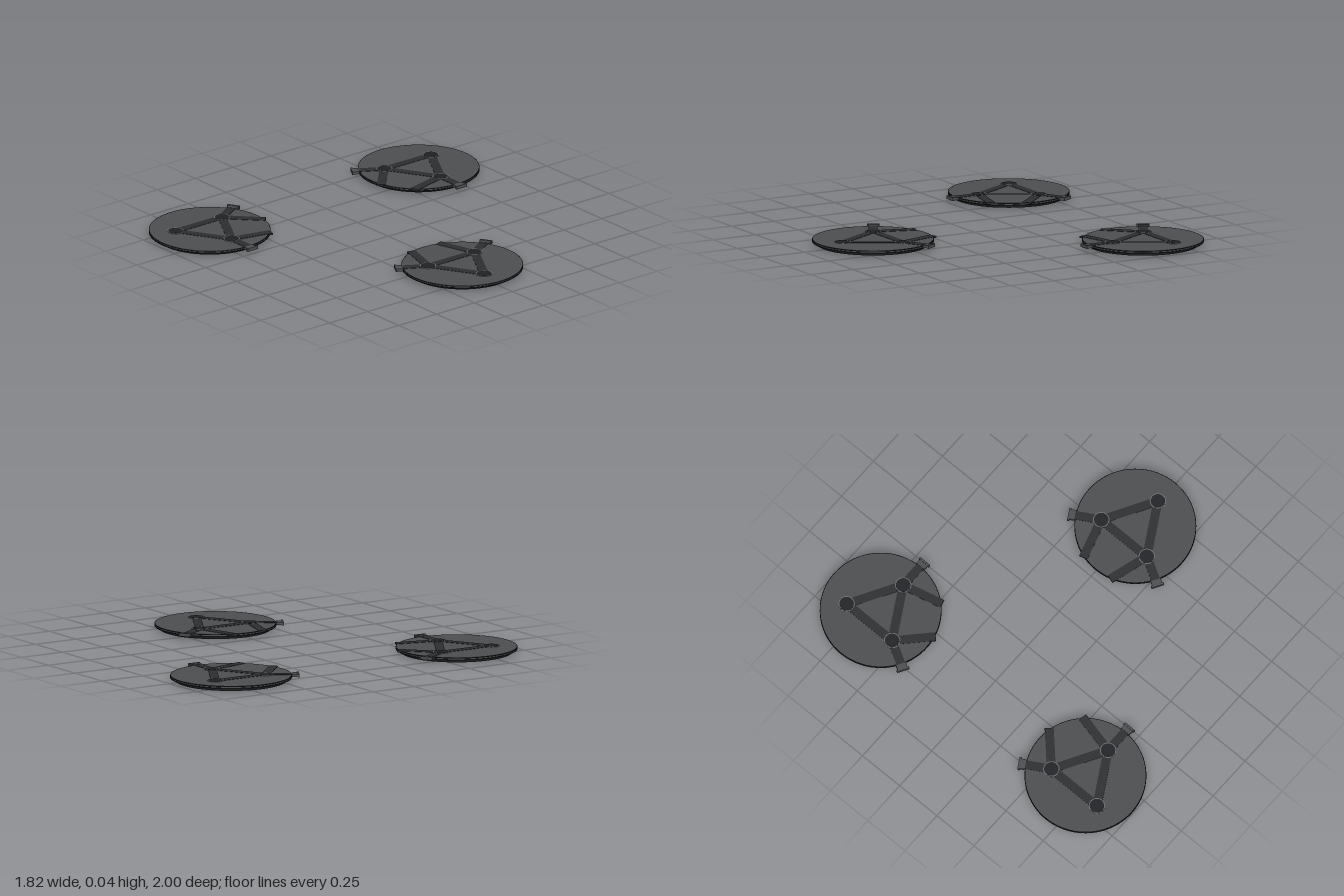
import * as THREE from 'three';

const material = (color) => new THREE.MeshStandardMaterial({ color });
const plateMat = material(0x4d4e50);
const darkMat = material(0x18191b);
const strutMat = material(0x2d2e30);
const nodeMat = material(0x202124);
const ringMat = material(0x6a6b6d);

const RADIUS = 0.311;       // pad plate
const NODE_RADIUS = 0.177;  // distance of the joints from the pad centre
const SPACING = 0.7956;     // distance of the pads from their common centre

function add(parent, name, geometry, mat) {
  const mesh = new THREE.Mesh(geometry, mat);
  mesh.name = name;
  parent.add(mesh);
  return mesh;
}

// Upright disc between two heights
function disc(parent, name, radius, y0, y1, mat, segments = 96) {
  const mesh = add(parent, name, new THREE.CylinderGeometry(radius, radius, y1 - y0, segments), mat);
  mesh.position.y = (y0 + y1) / 2;
  return mesh;
}

// Flat bar between two points [x, z]
function bar(parent, name, a, b, width, y0, y1, mat) {
  const dx = b[0] - a[0], dz = b[1] - a[1];
  const mesh = add(parent, name, new THREE.BoxGeometry(Math.hypot(dx, dz), y1 - y0, width), mat);
  mesh.position.set((a[0] + b[0]) / 2, (y0 + y1) / 2, (a[1] + b[1]) / 2);
  mesh.rotation.y = -Math.atan2(dz, dx);
  return mesh;
}

const polar = (r, angle) => [r * Math.cos(angle), r * Math.sin(angle)];

function createPad() {
  const pad = new THREE.Group();
  pad.name = 'pad';

  // Stepped round body
  disc(pad, 'base', 0.283, 0, 0.016, darkMat);
  disc(pad, 'lowerRim', RADIUS, 0.016, 0.021, darkMat);
  disc(pad, 'plate', RADIUS - 0.002, 0.021, 0.0295, plateMat);
  const rim = add(pad, 'upperRim', new THREE.TorusGeometry(RADIUS - 0.0025, 0.0025, 8, 96), darkMat);
  rim.rotation.x = Math.PI / 2;
  rim.position.y = 0.0275;

  // Triangle of struts with a round joint on each corner
  const nodes = [0, 1, 2].map((i) => polar(NODE_RADIUS, (i * 2 * Math.PI) / 3));
  nodes.forEach((node, i) => {
    bar(pad, 'strut', node, nodes[(i + 1) % 3], 0.046, 0.026, 0.031, strutMat);
    for (const [name, r, top, mat] of [['jointRing', 0.042, 0.0318, ringMat], ['joint', 0.037, 0.0326, nodeMat]]) {
      const joint = disc(pad, name, r, 0.026, top, mat, 40);
      joint.position.x = node[0];
      joint.position.z = node[1];
    }
  });

  // Radial arms with end clips, and slanted arms reaching the inner edge
  for (const side of [-1, 1]) {
    const angle = (side * 2 * Math.PI) / 3;
    const node = polar(NODE_RADIUS, angle);
    bar(pad, 'radialArm', node, polar(0.315, angle), 0.046, 0.024, 0.0312, strutMat);
    bar(pad, 'clip', polar(0.311, angle), polar(0.34, angle), 0.054, 0.019, 0.033, plateMat);
    bar(pad, 'clipEnd', polar(0.337, angle), polar(0.348, angle), 0.066, 0.018, 0.035, plateMat);
    bar(pad, 'slantedArm', node, [-0.303, side * 0.09], 0.046, 0.022, 0.0312, strutMat);
  }
  return pad;
}

export function createModel() {
  const model = new THREE.Group();
  model.name = 'padSet';
  for (let i = 0; i < 3; i++) {
    const angle = (i * 2 * Math.PI) / 3;
    const [x, z] = polar(SPACING, angle);
    const pad = createPad();
    pad.position.set(x - SPACING / 4, 0, z);
    pad.rotation.y = -angle;
    model.add(pad);
  }
  return model;
}
